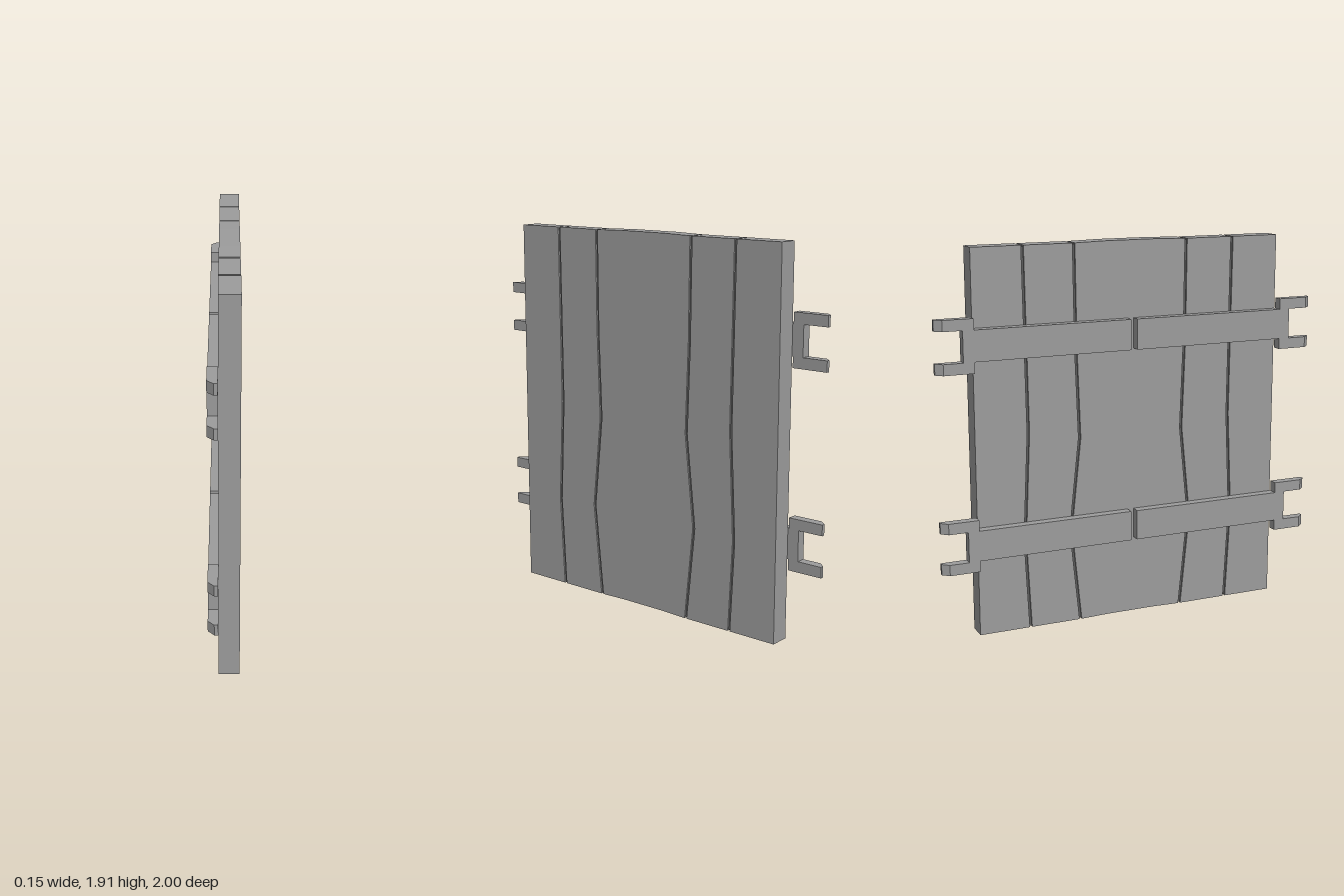
import * as THREE from 'three';

const WOOD = new THREE.MeshStandardMaterial({ color: 0x9c9c9c, flatShading: true });
const SEAM = new THREE.MeshStandardMaterial({ color: 0x5a5a5a, flatShading: true });
const FRONT = 0.074, BACK = -0.026, OUT = -0.074, TOP = 1.907, HALF = 0.81;
const GAP = 0.013;

// Seams between planks, as [z, y] from bottom to top
const seams = [
  [[-0.545, 0], [-0.567, 0.46], [-0.541, 1.0], [-0.555, TOP]],
  [[-0.277, 0], [-0.325, 0.48], [-0.274, 0.95], [-0.29, 1.4], [-0.296, TOP]],
  [[0.28, 0], [0.328, 0.48], [0.28, 0.95], [0.296, 1.4], [0.3, TOP]],
  [[0.545, 0], [0.57, 0.47], [0.546, 1.0], [0.556, TOP]],
];

function mesh(name, geometry, material = WOOD) {
  const m = new THREE.Mesh(geometry, material);
  m.name = name;
  return m;
}

// Box given by its limits
function box(name, x0, x1, y0, y1, z0, z1) {
  const m = mesh(name, new THREE.BoxGeometry(x1 - x0, y1 - y0, z1 - z0));
  m.position.set((x0 + x1) / 2, (y0 + y1) / 2, (z0 + z1) / 2);
  return m;
}

// Outline in (z, y), extruded along x from x0 to x1
function slab(name, outline, x0, x1, material) {
  const shape = new THREE.Shape(outline.map(([z, y]) => new THREE.Vector2(-z, y)));
  const geo = new THREE.ExtrudeGeometry(shape, { depth: x1 - x0, bevelEnabled: false });
  geo.rotateY(Math.PI / 2);
  geo.translate(x0, 0, 0);
  return mesh(name, geo, material);
}

// Prong with a chamfered outer tip, pointing along +z or -z
function prong(y0, y1, side) {
  const pts = [[BACK, 0.815], [BACK, 1], [-0.044, 1], [OUT, 0.967], [OUT, 0.815]];
  const shape = new THREE.Shape(pts.map(([x, z]) => new THREE.Vector2(x, -z * side)));
  const geo = new THREE.ExtrudeGeometry(shape, { depth: y1 - y0, bevelEnabled: false });
  geo.rotateX(-Math.PI / 2);
  geo.translate(0, y0, 0);
  return mesh('prong', geo);
}

// Strap pair with forked ends, centred on height y
function hinge(y) {
  const g = new THREE.Group();
  g.name = 'hingeStrap';
  for (const side of [1, -1]) {
    const [z0, z1] = [side * 0.016, side * 0.815].sort((a, b) => a - b);
    const [c0, c1] = [side * 0.815, side * 0.87].sort((a, b) => a - b);
    g.add(
      box('strap', OUT, BACK, y - 0.076, y + 0.076, z0, z1),
      box('forkBase', OUT, BACK, y - 0.076, y + 0.076, c0, c1),
      prong(y + 0.076, y + 0.13, side),
      prong(y - 0.13, y - 0.076, side),
    );
  }
  return g;
}

export function createModel() {
  const group = new THREE.Group();
  group.name = 'plankPanel';

  // Planks between neighbouring seams; the middle one is slightly bowed
  const edges = [[[-HALF, 0], [-HALF, TOP]], ...seams, [[HALF, 0], [HALF, TOP]]];
  for (let i = 0; i < edges.length - 1; i++) {
    const inset = (k) => (k === 0 || k === edges.length - 1 ? 0 : GAP / 2);
    const low = edges[i].map(([z, y]) => [z + inset(i), y]);
    const high = edges[i + 1].map(([z, y]) => [z - inset(i + 1), y]);
    const bow = i === 2;
    group.add(slab('plank', [
      ...low,
      ...(bow ? [[-0.13, TOP + 0.004], [0.13, TOP + 0.004]] : []),
      ...high.reverse(),
      ...(bow ? [[0.13, 0.004], [-0.13, 0.004]] : []),
    ], BACK, FRONT));
  }

  // Dark recessed strips that close the seams
  for (const path of seams) {
    const w = GAP / 2 + 0.001;
    const clip = path.map(([z, y]) => [z, THREE.MathUtils.clamp(y, 0.005, TOP - 0.005)]);
    group.add(slab('seamFiller', [
      ...clip.map(([z, y]) => [z - w, y]),
      ...clip.map(([z, y]) => [z + w, y]).reverse(),
    ], BACK + 0.008, FRONT - 0.008, SEAM));
  }

  // Upper and lower straps on the back
  group.add(hinge(1.454), hinge(0.477));
  return group;
}
